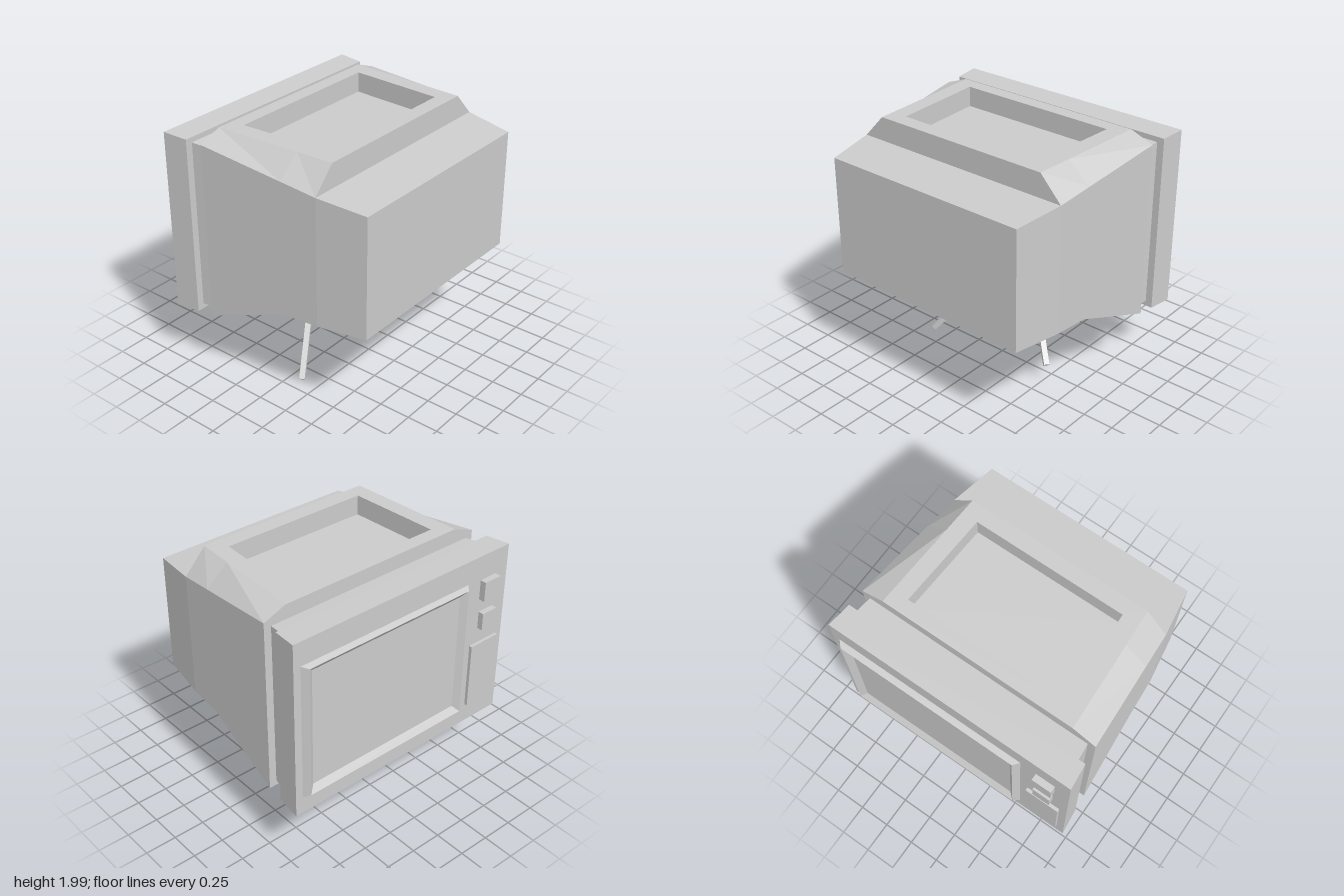
import * as THREE from 'three';

const material = new THREE.MeshStandardMaterial({ color: 0xcccccc, flatShading: true });

// Skin a series of rings (each counter-clockwise seen from the far end of the loft).
function loft(name, rings, { start = true, end = true, skip = () => false } = {}) {
  const pos = [];
  const tri = (a, b, c) => pos.push(...a, ...b, ...c);
  const n = rings[0].length;
  for (let i = 0; i < rings.length - 1; i++) {
    for (let j = 0; j < n; j++) {
      if (skip(i, j)) continue;
      const k = (j + 1) % n, r = rings[i], s = rings[i + 1];
      tri(r[j], r[k], s[k]);
      tri(r[j], s[k], s[j]);
    }
  }
  const first = rings[0], last = rings[rings.length - 1];
  for (let j = 1; j < n - 1; j++) {
    if (start) tri(first[0], first[j + 1], first[j]);
    if (end) tri(last[0], last[j], last[j + 1]);
  }
  const geometry = new THREE.BufferGeometry();
  geometry.setAttribute('position', new THREE.Float32BufferAttribute(pos, 3));
  geometry.computeVertexNormals();
  const mesh = new THREE.Mesh(geometry, material);
  mesh.name = name;
  return mesh;
}

// Upright rectangle facing +z, rectangle facing -z, and level trapezoid facing +y.
const rect = (z, x, y0, y1) => [[-x, y0, z], [x, y0, z], [x, y1, z], [-x, y1, z]];
const backRect = (z, x0, x1, y0, y1) => [[x1, y0, z], [x0, y0, z], [x0, y1, z], [x1, y1, z]];
const level = (y, zBack, xBack, zFront, xFront) =>
  [[-xFront, y, zFront], [xFront, y, zFront], [xBack, y, zBack], [-xBack, y, zBack]];

function box(name, w, h, d, x, y, z) {
  const mesh = new THREE.Mesh(new THREE.BoxGeometry(w, h, d), material);
  mesh.name = name;
  mesh.position.set(x, y, z);
  return mesh;
}

// Square rod between two points
function rod(name, from, to, width) {
  const a = new THREE.Vector3(...from), b = new THREE.Vector3(...to);
  const mesh = new THREE.Mesh(new THREE.BoxGeometry(width, width, a.distanceTo(b)), material);
  mesh.name = name;
  mesh.position.copy(a).add(b).multiplyScalar(0.5);
  mesh.lookAt(b);
  return mesh;
}

export function createModel() {
  const group = new THREE.Group();
  group.name = 'television';

  // Tapered housing with a raised hump on top
  const top = 1.995;
  const section = (z, x, y0, y1, hx, hy) =>
    [[-x, y0, z], [x, y0, z], [x, y1, z], [hx, hy, z], [-hx, hy, z], [-x, y1, z]];
  group.add(loft('housing', [
    section(-0.49, 0.97, 0.52, 1.925, 0.785, top),
    section(0.2, 0.928, 0.79, 1.843, 0.75, top),
    section(0.49, 0.91, 0.803, 1.808, 0.735, top),
    section(0.49, 0.91, 0.803, 1.808, 0.735, 1.808),
    section(0.875, 0.85, 0.82, 1.77, 0.69, 1.77),
  ], { skip: (i, j) => j === 3 && i < 2 }));

  // Top surface with a sunken tray
  group.add(loft('topTray', [
    level(top, -0.49, 0.785, 0.49, 0.735),
    level(top, -0.38, 0.65, 0.37, 0.61),
    level(1.835, -0.38, 0.65, 0.37, 0.61),
  ], { start: false }));

  // Narrow neck and screen-side frame
  group.add(loft('neck', [rect(-0.63, 0.925, 0.55, 1.89), rect(-0.485, 0.91, 0.56, 1.88)]));
  group.add(loft('screenFrame', [rect(-0.825, 1, 0.5, 1.94), rect(-0.625, 0.98, 0.51, 1.93)]));

  // Raised bezel sloping back down to the screen
  group.add(loft('screenBezel', [
    backRect(-0.825, -0.6, 0.94, 0.64, 1.75),
    backRect(-0.87, -0.56, 0.9, 0.67, 1.735),
    backRect(-0.83, -0.515, 0.85, 0.72, 1.685),
  ], { start: false }));

  // Controls beside the screen
  group.add(box('upperKnob', 0.155, 0.16, 0.06, -0.805, 1.66, -0.845));
  group.add(box('lowerKnob', 0.14, 0.14, 0.05, -0.805, 1.4, -0.845));
  group.add(box('speakerPanel', 0.275, 0.54, 0.04, -0.802, 0.93, -0.83));

  // Bracket under the housing, narrowing downward
  group.add(loft('legBracket', [
    [[-0.13, 0.535, -0.055], [0.13, 0.535, -0.055], [0.14, 0.505, -0.14], [-0.14, 0.505, -0.14]],
    [[-0.27, 0.695, -0.05], [0.27, 0.695, -0.05], [0.28, 0.615, -0.25], [-0.28, 0.615, -0.25]],
  ]));

  // Splayed rods of unequal length
  group.add(rod('leftRod', [0.22, 0.58, -0.135], [0.535, 0.17, 0.115], 0.042));
  group.add(rod('rightRod', [-0.22, 0.58, -0.135], [-0.647, 0.022, 0.11], 0.042));

  return group;
}
